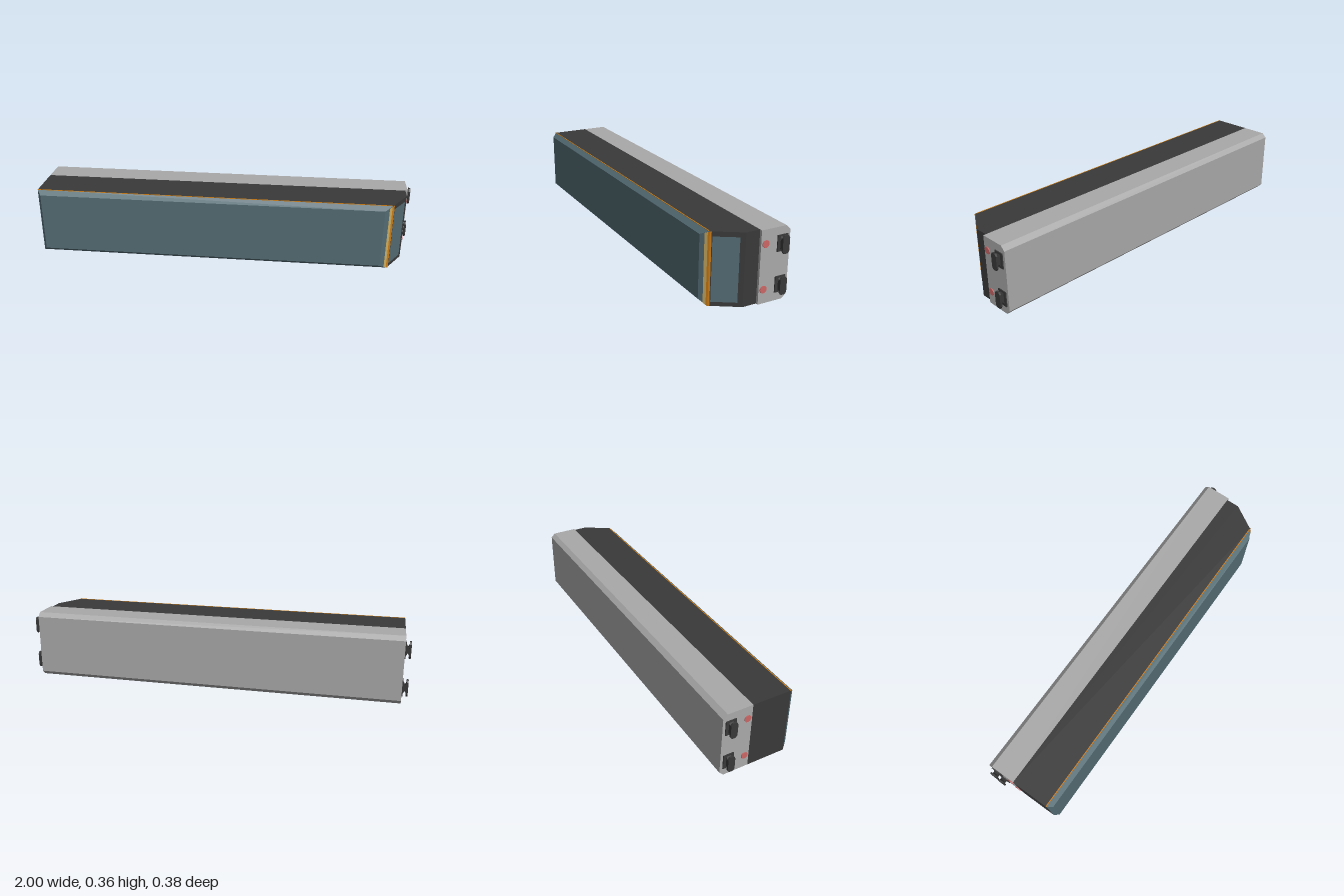
import * as THREE from 'three';
import { ConvexGeometry } from 'three/addons/geometries/ConvexGeometry.js';

const mat = (name, color, side = THREE.FrontSide) => {
  const m = new THREE.MeshStandardMaterial({ color, side });
  m.name = name;
  return m;
};

export function createModel() {
  const grey = mat('light grey', 0xa9a9a9);
  const dark = mat('charcoal', 0x393939);
  const teal = mat('slate teal', 0x536b73);
  const orange = mat('orange', 0xc97a14, THREE.DoubleSide);
  const pale = mat('pale amber', 0xc8ab62, THREE.DoubleSide);
  const red = mat('soft red', 0xcc6666);
  const H = 0.355;
  const root = new THREE.Group();
  root.name = 'displayBar';

  const add = (name, geo, material, parent = root) => {
    const m = new THREE.Mesh(geo, material);
    m.name = name;
    parent.add(m);
    return m;
  };
  const shape = (pts) => new THREE.Shape(pts.map(([a, b]) => new THREE.Vector2(a, b)));
  const extrude = (pts, depth) =>
    new THREE.ExtrudeGeometry(shape(pts), { depth, bevelEnabled: false });

  // Grey rear shell, bevelled along its two rear edges (section in -z, y)
  const rear = extrude([
    [0.037, 0], [0.168, 0], [0.19, 0.022], [0.19, H - 0.022], [0.168, H], [0.037, H],
  ], 1.94);
  rear.rotateY(Math.PI / 2);
  rear.translate(-0.97, 0, 0);
  add('rearShell', rear, grey);

  // Dark middle body with a slanted right end (plan in x, -z)
  const body = extrude([
    [-0.97, 0.037], [-0.97, -0.165], [0.875, -0.165], [0.957, -0.034], [0.957, 0.037],
  ], H);
  body.rotateX(-Math.PI / 2);
  add('middleBody', body, dark);

  // Front panel with bevelled rim
  const pts = [];
  for (const [x0, x1, inset, z] of [[-0.97, 0.875, 0, 0.165], [-0.95, 0.835, 0.022, 0.19]])
    for (const x of [x0, x1])
      for (const y of [inset, H - inset]) pts.push(new THREE.Vector3(x, y, z));
  add('frontPanel', new ConvexGeometry(pts), teal);

  // Upright thin face between plan points a and b, inset at top and bottom
  const face = (name, a, b, insetA, insetB, material) => {
    const g = new THREE.BufferGeometry();
    g.setAttribute('position', new THREE.Float32BufferAttribute([
      a[0], insetA, a[1], b[0], insetB, b[1],
      b[0], H - insetB, b[1], a[0], H - insetA, a[1],
    ], 3));
    g.setIndex([0, 1, 2, 0, 2, 3]);
    g.computeVertexNormals();
    return add(name, g, material);
  };

  // Slanted end window and the stripes at the panel's right edge
  const slant = (z) => [0.875 + (0.165 - z) * 0.626 + 0.003, z + 0.001];
  const bevel = (z) => [0.875 - (z - 0.165) * 1.6 + 0.002, z + 0.002];
  const inset = (z) => (z - 0.165) * 0.88;
  face('endWindow', slant(0.155), slant(0.055), 0.022, 0.022, teal);
  face('orangeStripe', slant(0.165), slant(0.158), 0, 0, orange);
  face('orangeStripeEdge', bevel(0.169), bevel(0.164), inset(0.169), 0, orange);
  face('paleStripe', bevel(0.177), bevel(0.169), inset(0.177), inset(0.169), pale);

  // Thin orange seam along the top
  const seam = new THREE.BoxGeometry(1.84, 0.002, 0.005);
  seam.translate(-0.05, H, 0.164);
  add('topSeam', seam, orange);

  // End fittings, the same on both ends
  for (const s of [1, -1]) {
    const end = new THREE.Group();
    end.name = s > 0 ? 'leftEndFittings' : 'rightEndFittings';
    end.rotation.y = s > 0 ? 0 : Math.PI;
    root.add(end);
    const z = (v) => v * s;

    for (const y of [0.07, 0.288]) {
      const dot = add('redButton', new THREE.CylinderGeometry(0.0175, 0.0175, 0.006, 24), red, end);
      dot.rotation.z = Math.PI / 2;
      dot.position.set(0.971, y, z(-0.061));
    }

    for (const y of [0.08, 0.278]) {
      const hook = new THREE.Group();
      hook.name = 'coupling';
      hook.position.set(0.97, y, z(-0.149));
      end.add(hook);
      const base = add('couplingBase', new THREE.BoxGeometry(0.006, 0.078, 0.054), dark, hook);
      base.position.x = 0.002;
      // Waisted neck (profile in x, y)
      const neck = extrude([
        [0.004, -0.032], [0.014, -0.015], [0.024, -0.032],
        [0.024, 0.032], [0.014, 0.015], [0.004, 0.032],
      ], 0.024);
      neck.translate(0, 0, -0.012);
      add('couplingNeck', neck, dark, hook);
      // Outer plate with cut corners (outline in z, y)
      const plate = extrude([
        [-0.01, -0.043], [0.01, -0.043], [0.018, -0.031], [0.018, 0.031],
        [0.01, 0.043], [-0.01, 0.043], [-0.018, 0.031], [-0.018, -0.031],
      ], 0.009);
      plate.rotateY(Math.PI / 2);
      plate.translate(0.021, 0, 0);
      add('couplingPlate', plate, dark, hook);
    }
  }
  return root;
}
